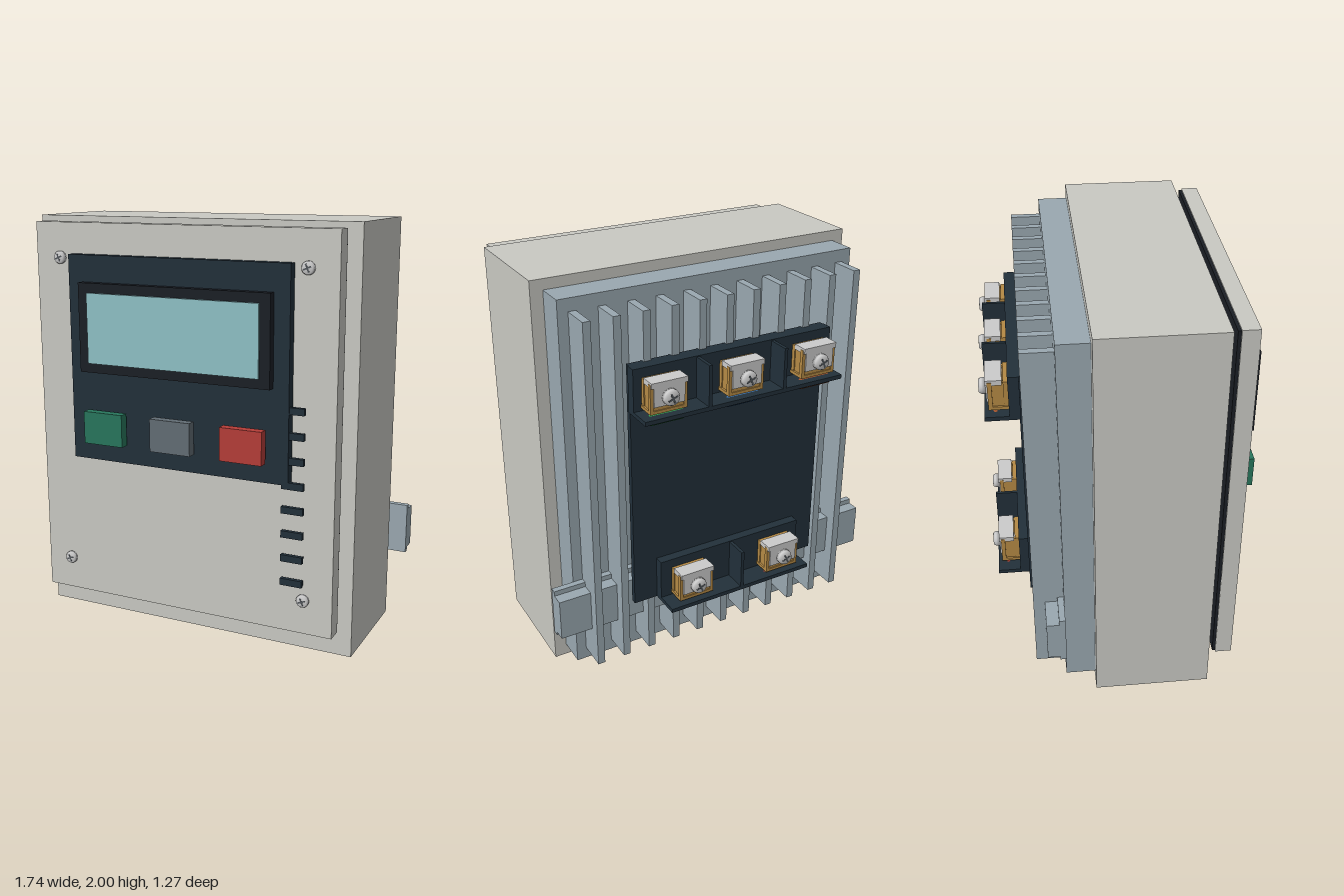
import * as THREE from 'three';

const mat = (color) => new THREE.MeshStandardMaterial({ color });
const M = {
  shell: mat(0xc9c9c3), metal: mat(0x9aa8b0), dark: mat(0x22303a), black: mat(0x1b1f25),
  glass: mat(0x8fc1c6), green: mat(0x28765c), grey: mat(0x626d74), red: mat(0xb53d38),
  steel: mat(0xc4c6c4), brass: mat(0xb58a45), lime: mat(0x2f9e4f), blue: mat(0x3b76b5),
  orange: mat(0xa8552b), scarlet: mat(0xc8402f), slot: mat(0x50555a),
};

export function createModel() {
  const root = new THREE.Group();
  root.name = 'controlBox';

  const add = (name, geo, m, parent = root) => {
    const mesh = new THREE.Mesh(geo, m);
    mesh.name = name;
    parent.add(mesh);
    return mesh;
  };
  // box given by its limits on each axis
  const box = (name, m, x0, x1, y0, y1, z0, z1, parent) => {
    const mesh = add(name, new THREE.BoxGeometry(x1 - x0, y1 - y0, z1 - z0), m, parent);
    mesh.position.set((x0 + x1) / 2, (y0 + y1) / 2, (z0 + z1) / 2);
    return mesh;
  };
  const group = (name, x, y, z, parent = root) => {
    const g = new THREE.Group();
    g.name = name;
    g.position.set(x, y, z);
    parent.add(g);
    return g;
  };
  // slotted screw head, facing +z from its group's origin
  const screwHead = (name, r, h, x, y, z, parent) => {
    const g = group(name, x, y, z, parent);
    const profile = [[0, 0], [r, 0], [r, h * 0.6], [r * 0.8, h], [0, h]];
    const head = add('screwHead', new THREE.LatheGeometry(profile.map((p) => new THREE.Vector2(...p)), 20), M.steel, g);
    head.rotation.x = Math.PI / 2;
    for (const a of [0.4, 0.4 + Math.PI / 2]) {
      const s = box('crossSlot', M.slot, -r * 0.65, r * 0.65, -r * 0.12, r * 0.12, h * 0.9, h + 0.001, g);
      s.rotation.z = a;
    }
    return g;
  };

  // Enclosure and door
  box('enclosure', M.shell, -0.82, 0.82, 0, 2, -0.16, 0.40);
  box('doorGasket', M.black, -0.76, 0.76, 0.14, 1.97, 0.43, 0.445);
  box('door', M.shell, -0.765, 0.765, 0.135, 1.975, 0.445, 0.525);
  for (const x of [-0.63, 0.625]) for (const y of [0.3, 1.81]) screwHead('doorScrew', 0.03, 0.025, x, y, 0.525);

  // Operator panel
  box('controlPanel', M.dark, -0.56, 0.56, 0.85, 1.83, 0.525, 0.57);
  const frame = new THREE.Shape([[-0.485, 1.285], [0.485, 1.285], [0.485, 1.705], [-0.485, 1.705]].map((p) => new THREE.Vector2(...p)));
  frame.holes.push(new THREE.Path([[-0.435, 1.33], [-0.435, 1.66], [0.435, 1.66], [0.435, 1.33]].map((p) => new THREE.Vector2(...p))));
  add('screenFrame', new THREE.ExtrudeGeometry(frame, { depth: 0.04, bevelEnabled: false }), M.black).position.z = 0.57;
  box('screen', M.glass, -0.435, 0.435, 1.33, 1.66, 0.57, 0.62);
  [M.green, M.grey, M.red].forEach((m, i) => {
    const x = (i - 1) * 0.356;
    box('pushButton', m, x - 0.103, x + 0.103, 0.945, 1.1, 0.59, 0.635);
  });

  // Vent bars beside the panel
  for (let i = 0; i < 8; i++) {
    const y = 1.19 - i * 0.1143;
    box('ventBar', M.dark, 0.525, 0.63, y - 0.016, y + 0.016, 0.545, 0.565);
  }

  // Heat sink
  box('heatSinkBase', M.metal, -0.76, 0.76, 0.06, 1.95, -0.305, -0.16);
  for (let i = -5; i <= 5; i++) {
    const x = i * 0.1385;
    box('heatSinkFin', M.metal, x - 0.018, x + 0.018, 0.12, 1.89, -0.45, -0.305);
  }

  // Mounting rail, a hat section running across
  const hat = [[0.28, 0.305], [0.535, 0.305], [0.535, 0.335], [0.51, 0.335], [0.51, 0.395], [0.30, 0.395], [0.30, 0.335], [0.28, 0.335]];
  const railShape = new THREE.Shape(hat.map(([y, z]) => new THREE.Vector2(z, y)));
  const rail = add('mountingRail', new THREE.ExtrudeGeometry(railShape, { depth: 1.74, bevelEnabled: false }), M.metal);
  rail.rotation.y = Math.PI / 2; // extrusion along x, profile toward the back
  rail.position.x = -0.87;

  // Rear module plate
  box('modulePlate', M.dark, -0.51, 0.51, 0.42, 1.66, -0.46, -0.432);

  // One screw clamp, opening toward -z
  const clamp = (x, parent) => {
    const g = group('screwClamp', x, 0, 0, parent);
    box('clampFloor', M.brass, -0.09, 0.09, 0.035, 0.05, -0.595, -0.505, g);
    for (const s of [-1, 1]) {
      box('clampCheek', M.brass, s * 0.082 - 0.008, s * 0.082 + 0.008, 0.035, 0.175, -0.595, -0.575, g);
      box('clampArm', M.brass, s * 0.072 - 0.008, s * 0.072 + 0.008, 0.05, 0.17, -0.575, -0.505, g);
    }
    box('clampBack', M.brass, -0.085, 0.085, 0.04, 0.175, -0.525, -0.505, g);
    box('clampFace', M.brass, -0.08, 0.08, 0.04, 0.16, -0.59, -0.575, g);
    box('pressurePlate', M.steel, -0.088, 0.088, 0.16, 0.185, -0.605, -0.53, g);
    box('pressureLip', M.steel, -0.075, 0.075, 0.07, 0.165, -0.602, -0.59, g);
    // threaded shank with ridges
    const shank = add('clampScrewShank', new THREE.CylinderGeometry(0.018, 0.018, 0.1, 14), M.steel, g);
    shank.rotation.x = Math.PI / 2;
    shank.position.set(0, 0.11, -0.55);
    for (let i = 0; i < 4; i++) {
      add('screwThread', new THREE.TorusGeometry(0.018, 0.005, 6, 14), M.steel, g).position.set(0, 0.11, -0.525 - i * 0.018);
    }
    screwHead('clampScrew', 0.038, 0.034, 0, 0.11, -0.601, g).rotation.y = Math.PI;
  };

  // Terminal strip: back wall, shelf, dividers, clamps and colour tags
  const terminalStrip = (name, y, halfWidth, xs, tags) => {
    const g = group(name, 0, y, 0);
    box('stripWall', M.dark, -halfWidth, halfWidth, 0, 0.22, -0.505, -0.455, g);
    box('stripShelf', M.dark, -halfWidth, halfWidth, 0, 0.02, -0.615, -0.455, g);
    for (let i = 0; i < xs.length - 1; i++) {
      const x = (xs[i] + xs[i + 1]) / 2;
      box('divider', M.dark, x - 0.008, x + 0.008, 0.02, 0.215, -0.615, -0.5, g);
    }
    xs.forEach((x, i) => {
      clamp(x, g);
      const tag = add('colourTag', new THREE.CapsuleGeometry(0.025, 0.15, 6, 14), tags[i], g);
      tag.rotation.z = Math.PI / 2;
      tag.position.set(x, -0.003, -0.565);
    });
  };
  terminalStrip('upperTerminals', 1.44, 0.515, [0.39, 0, -0.39], [M.lime, M.blue, M.orange]);
  terminalStrip('lowerTerminals', 0.42, 0.39, [0.245, -0.245], [M.black, M.scarlet]);

  return root;
}
